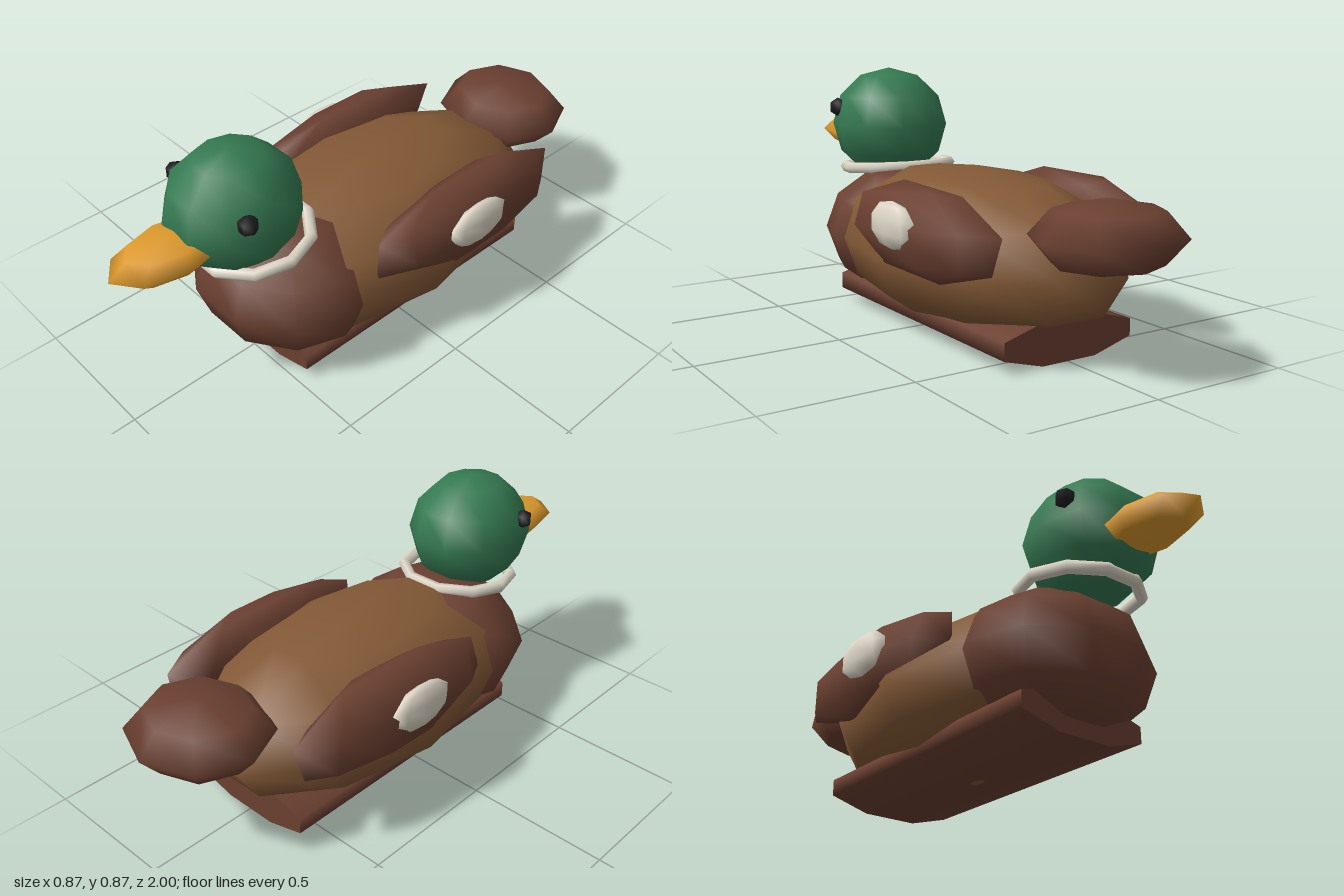
import * as THREE from 'three';

function makeMaterial(name, color) {
  const m = new THREE.MeshStandardMaterial({ color });
  m.name = name;
  return m;
}

export function createModel() {
  const group = new THREE.Group();
  group.name = 'duckDecoy';
  const brown = makeMaterial('brown', 0x6b4031);
  const tan = makeMaterial('tan', 0x835936);
  const green = makeMaterial('green', 0x357a52);
  const orange = makeMaterial('orange', 0xde9a2c);
  const cream = makeMaterial('cream', 0xdcd5c6);
  const black = makeMaterial('black', 0x1e1e22);

  const add = (name, geometry, material, position) => {
    const mesh = new THREE.Mesh(geometry, material);
    mesh.name = name;
    mesh.position.set(...position);
    group.add(mesh);
    return mesh;
  };

  // Low-poly ellipsoid; tilt turns the poles before stretching
  const ellipsoid = (name, material, position, radii, across, down, tilt = 0) => {
    const g = new THREE.SphereGeometry(1, across, down);
    g.rotateX(tilt).scale(...radii);
    return add(name, g, material, position);
  };

  // Body, chest and tail
  ellipsoid('body', tan, [0, 0.28, -0.06], [0.393, 0.28, 0.704], 10, 6);
  ellipsoid('chest', brown, [0, 0.28, 0.34], [0.35, 0.25, 0.318], 10, 6);
  ellipsoid('tail', brown, [0, 0.43, -0.77], [0.25, 0.115, 0.23], 8, 4);

  // Head and beak
  ellipsoid('head', green, [0, 0.656, 0.535], [0.215, 0.215, 0.236], 10, 6);
  ellipsoid('beak', orange, [0, 0.606, 0.78], [0.125, 0.061, 0.22], 8, 4);

  // Neck ring, lower at the front
  const collar = add('collar', new THREE.TorusGeometry(0.2, 0.022, 6, 10), cream, [0, 0.502, 0.475]);
  collar.rotation.x = Math.PI / 2 + 0.08;

  // Eight-sided keel block lying along z
  const keel = new THREE.CylinderGeometry(1, 1, 1.07, 8);
  keel.rotateY(Math.PI / 8).rotateX(Math.PI / 2).scale(0.27, 0.076, 1);
  add('base', keel, brown, [0, 0.0735, -0.065]);

  // Mirrored wings, wing patches and eyes
  for (const s of [1, -1]) {
    const side = s > 0 ? 'left' : 'right';
    const wing = ellipsoid(side + 'Wing', brown, [s * 0.31, 0.39, -0.225], [0.11, 0.155, 0.46], 8, 4, 0.32);
    wing.rotation.z = s * 0.15;
    ellipsoid(side + 'WingPatch', cream, [s * 0.398, 0.41, -0.19], [0.037, 0.08, 0.14], 8, 5);
    ellipsoid(side + 'Eye', black, [s * 0.182, 0.721, 0.615], [0.036, 0.036, 0.036], 6, 3);
  }
  return group;
}
